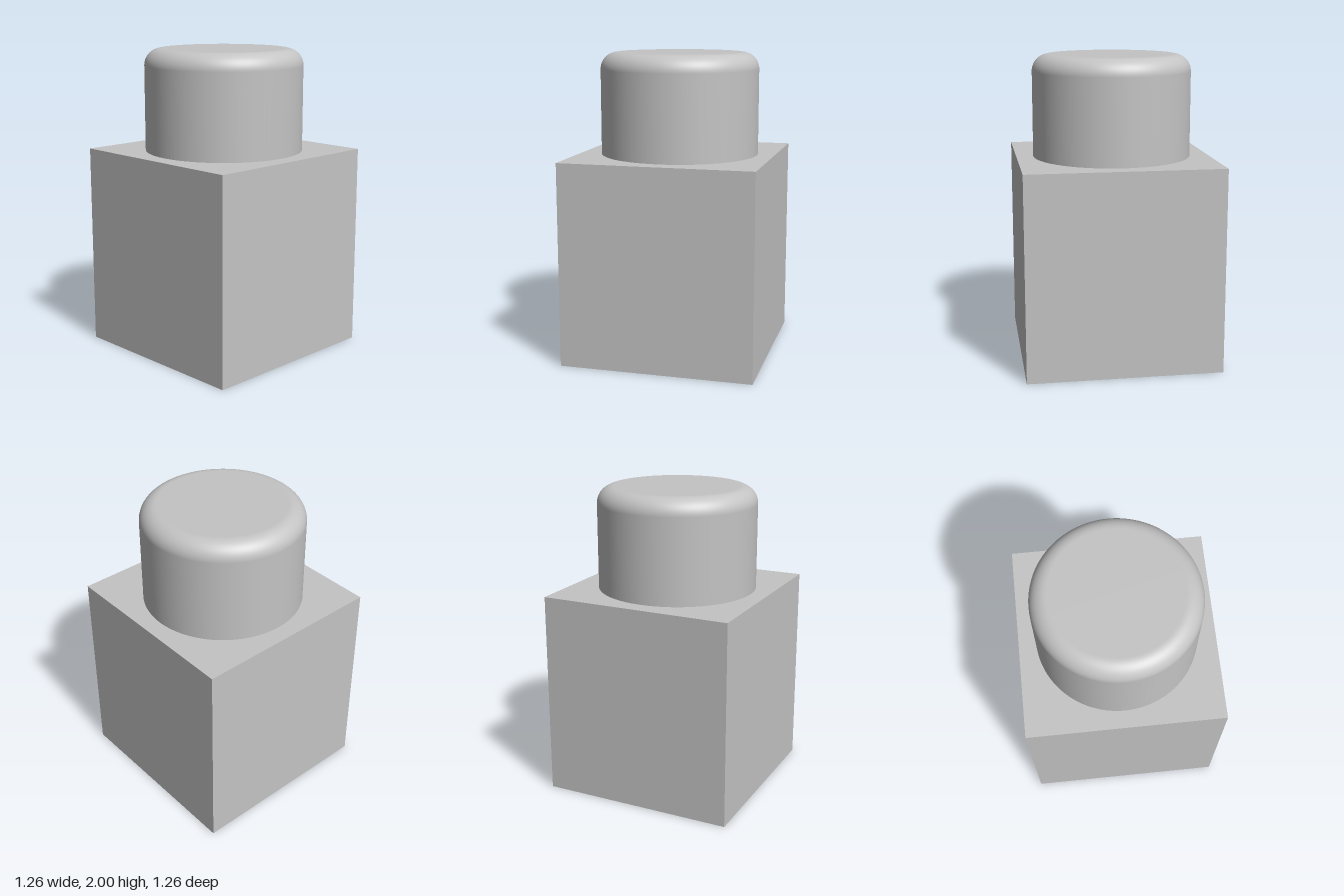
import * as THREE from 'three';

export function createModel() {
  const model = new THREE.Group();
  const grey = new THREE.MeshStandardMaterial({ color: 0xc4c4c4 });
  grey.name = 'light grey';

  const bodyWidth = 1.265, bodyHeight = 1.333;
  const studRadius = 0.52, top = 2, fillet = 0.11;

  // Square block
  const body = new THREE.Mesh(new THREE.BoxGeometry(bodyWidth, bodyHeight, bodyWidth), grey);
  body.name = 'body';
  body.position.y = bodyHeight / 2;
  model.add(body);

  // Round stud with a rounded upper rim, closed by a flat top
  const profile = [new THREE.Vector2(studRadius, bodyHeight)];
  const steps = 16;
  for (let i = 0; i <= steps; i++) {
    const a = (i / steps) * Math.PI / 2;
    profile.push(new THREE.Vector2(
      studRadius - fillet + fillet * Math.cos(a),
      top - fillet + fillet * Math.sin(a)
    ));
  }
  const stud = new THREE.Mesh(new THREE.LatheGeometry(profile, 96), grey);
  stud.name = 'stud';
  model.add(stud);

  const studTop = new THREE.Mesh(new THREE.CircleGeometry(studRadius - fillet, 96), grey);
  studTop.name = 'studTop';
  studTop.rotation.x = -Math.PI / 2;
  studTop.position.y = top;
  model.add(studTop);

  return model;
}
